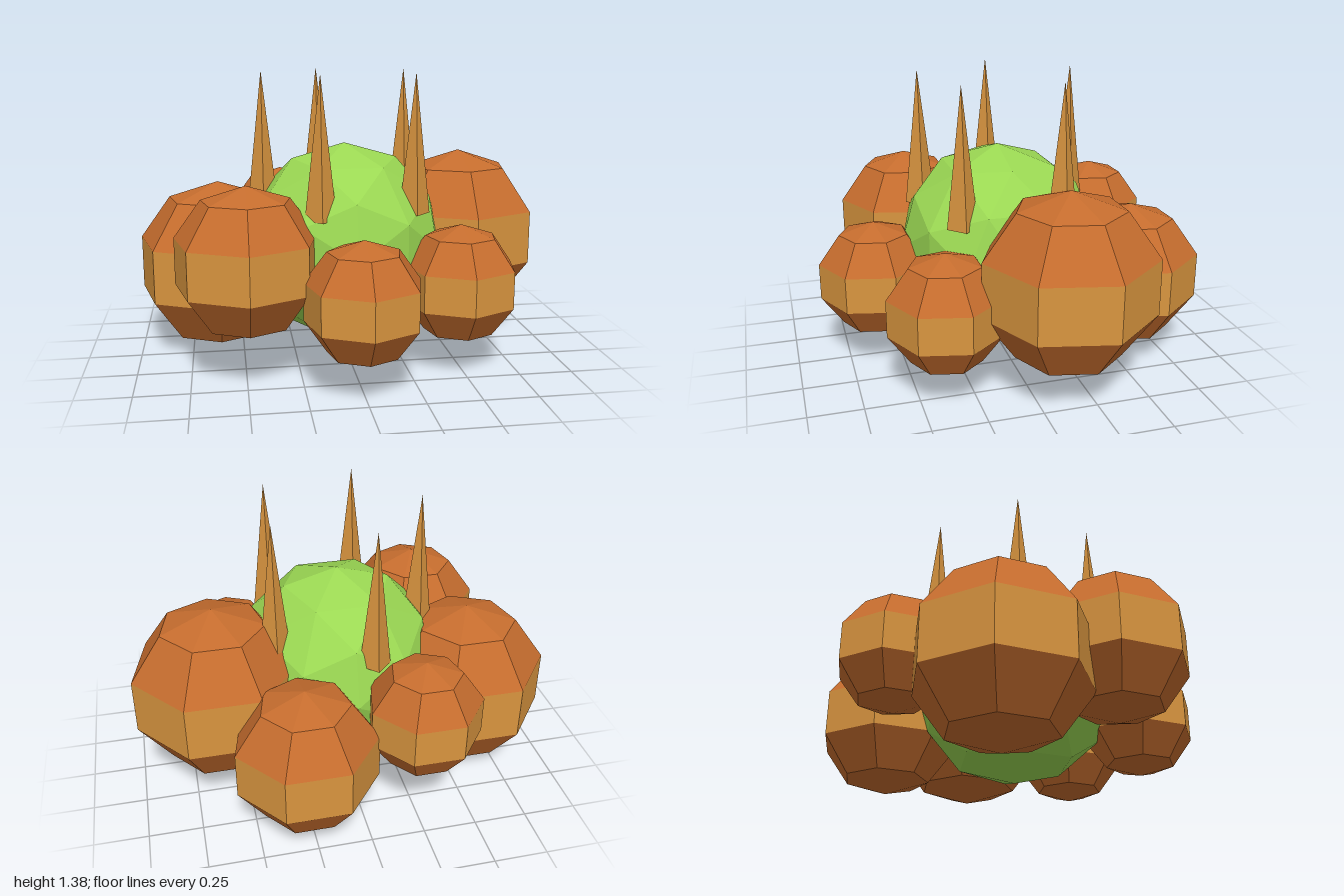
import * as THREE from 'three';

export function createModel() {
  const mat = (name, color) => new THREE.MeshStandardMaterial({ name, color });
  const rust = mat('rust', 0xc66d2e);
  const gold = mat('gold', 0xd9953f);
  const green = mat('green', 0x9bd853);

  const model = new THREE.Group();
  model.name = 'model';

  // Split the faces so every facet gets a flat normal
  const faceted = (geometry) => {
    const g = geometry.index ? geometry.toNonIndexed() : geometry;
    g.computeVertexNormals();
    return g;
  };
  const add = (name, geometry, material, x, y, z) => {
    const mesh = new THREE.Mesh(geometry, material);
    mesh.name = name;
    mesh.position.set(x, y, z);
    model.add(mesh);
  };

  // Central faceted ball
  add('core', faceted(new THREE.IcosahedronGeometry(0.481, 1)), green, 0, 0.553, 0);

  // Seven-sided lobe: rust caps with a gold band round the middle
  const lobeGeometry = (r) => {
    const g = faceted(new THREE.SphereGeometry(r, 7, 5, Math.PI / 2, Math.PI * 2));
    const count = g.attributes.position.count;
    g.clearGroups();
    g.addGroup(0, 63, 0);
    g.addGroup(63, 42, 1);
    g.addGroup(105, count - 105, 0);
    return g;
  };

  // Ring of lobes: radius, x, y, z
  const lobes = [
    [0.277, 0, 0.418, 0.61],
    [0.277, 0.488, 0.418, 0.372],
    [0.415, 0.61, 0.553, -0.152],
    [0.346, 0.271, 0.418, -0.584],
    [0.277, -0.271, 0.553, -0.584],
    [0.415, -0.61, 0.418, -0.152],
    [0.346, -0.488, 0.553, 0.372],
  ];
  lobes.forEach(([r, x, y, z], i) => add(`lobe${i + 1}`, lobeGeometry(r), [rust, gold], x, y, z));

  // Ring of four-sided spikes: x, z
  const spikeGeometry = faceted(new THREE.ConeGeometry(0.073, 0.65, 4));
  const spikes = [[-0.392, -0.048], [-0.155, 0.35], [0.296, 0.245], [0.335, -0.215], [-0.09, -0.395]];
  spikes.forEach(([x, z], i) => add(`spike${i + 1}`, spikeGeometry, gold, x, 1.053, z));

  return model;
}
